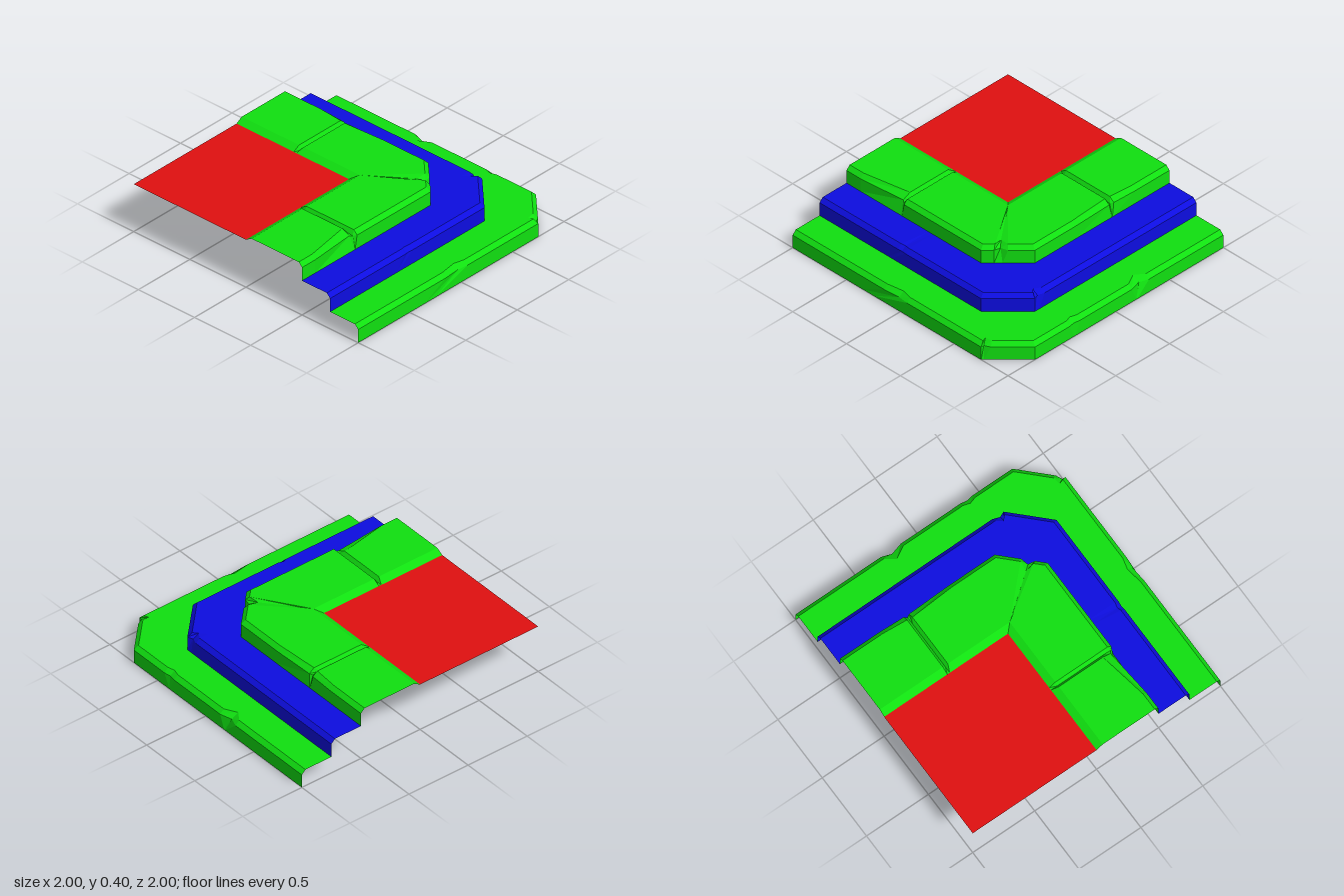
import * as THREE from 'three';

const material = (color) =>
  new THREE.MeshStandardMaterial({ color, flatShading: true, side: THREE.DoubleSide });

// Row of a step's cross-section: d = distance from centre, y = height, k = where the
// corner cut starts, inset / drop = how strongly wear moves it, low = uses the foot position.
const row = (d, y, k, inset = 0, drop = 0, low = false) => ({ d, y, k, inset, drop, low });

// Station along the step: t = position at the top, foot = position at the wall's foot.
const station = (leg) => (t, foot = t, inset = 0, drop = 0) => ({ leg, t, foot, inset, drop });
const back = station('back');
const corner = station('corner');
const right = station('right');

function place(s, r) {
  const t = r.low ? s.foot : s.t;
  const push = s.inset * r.inset;
  const y = r.y - s.drop * r.drop;
  if (s.leg === 'back') return new THREE.Vector3(t ?? r.k, y, -r.d + push);
  if (s.leg === 'right') return new THREE.Vector3(r.d - push, y, t ?? -r.k);
  const p = push * Math.SQRT1_2;
  return new THREE.Vector3(
    THREE.MathUtils.lerp(r.k, r.d, t) - p, y, THREE.MathUtils.lerp(-r.d, -r.k, t) + p);
}

// Sweep the cross-section round the corner, skipping collapsed triangles
function sweep(name, mat, rows, stations) {
  const pos = [];
  const tri = (...pts) => {
    if (new THREE.Triangle(...pts).getArea() > 1e-7) pts.forEach((p) => pos.push(p.x, p.y, p.z));
  };
  for (let i = 0; i < stations.length - 1; i++) {
    for (let j = 0; j < rows.length - 1; j++) {
      const a = place(stations[i], rows[j]);
      const b = place(stations[i + 1], rows[j]);
      const c = place(stations[i + 1], rows[j + 1]);
      const d = place(stations[i], rows[j + 1]);
      tri(a, b, c);
      tri(a, c, d);
    }
  }
  const geo = new THREE.BufferGeometry();
  geo.setAttribute('position', new THREE.Float32BufferAttribute(pos, 3));
  geo.computeVertexNormals();
  const mesh = new THREE.Mesh(geo, mat);
  mesh.name = name;
  return mesh;
}

// Tread, bevelled lip and riser of one step
function stepRows(inner, outer, top, bottom) {
  const bevel = 0.03;
  const cut = outer - 0.25;
  return [
    row(outer - bevel, top, cut - bevel * (Math.SQRT2 - 1), 1, 1),
    row(outer, top - bevel, cut, 0.5, 0.2),
    row(outer, bottom, cut, 0, 0, true),
  ];
}

export function createModel() {
  const group = new THREE.Group();
  const green = material(0x10e010);
  const blue = material(0x0d0de0);
  const red = material(0xe01010);

  // Sunken floor panel
  const floor = new THREE.Mesh(new THREE.PlaneGeometry(1, 1).rotateX(-Math.PI / 2), red);
  floor.name = 'floorPanel';
  floor.position.set(-0.5, 0.37, 0.5);
  group.add(floor);

  // Top step, sloping down to the floor, with a joint on each leg and chipped lips
  group.add(sweep('topStep', green,
    [row(0, 0.37, 0), row(0.05, 0.4, 0.05, 0, 1), ...stepRows(0.05, 0.5, 0.4, 0.267)],
    [
      back(-1), back(-0.68), back(-0.49, -0.475, 0.015),
      back(-0.47, -0.47, 0.05, 0.03), back(-0.45, -0.465, 0.02), back(-0.12),
      back(), corner(0), corner(0.5), corner(0.64, 0.6, 0.06, 0.01), corner(0.76), corner(1), right(),
      right(0.465, 0.48), right(0.485, 0.485, 0.04, 0.03), right(0.505, 0.49, 0.065),
      right(0.87), right(1),
    ]));

  // Middle step, chipped at the corner and cracked on the right
  group.add(sweep('middleStep', blue,
    [row(0.5, 0.267, 0.25), ...stepRows(0.5, 0.75, 0.267, 0.133)],
    [
      back(-1), back(0.41), back(0.46, 0.46, 0.035, 0.004), back(), corner(0), corner(0.1),
      corner(1), right(), right(0.2, 0.3), right(0.24, 0.33, 0.008, 0.004), right(0.27, 0.36), right(1),
    ]));

  // Bottom step with chips on the back, corner and right
  group.add(sweep('bottomStep', green,
    [row(0.75, 0.133, 0.5), ...stepRows(0.75, 1, 0.133, 0)],
    [
      back(-1), back(-0.31, -0.21), back(-0.24, -0.2, 0.05), back(-0.15, -0.19),
      back(0.33, 0.37), back(0.38, 0.375, 0.015), back(0.43, 0.38),
      back(), corner(0), corner(0.82), corner(0.95, 0.95, 0.035), corner(1), right(), right(-0.68),
      right(-0.06, 0.19), right(0.02, 0.25, 0.02), right(0.15, 0.35), right(1),
    ]));

  return group;
}
